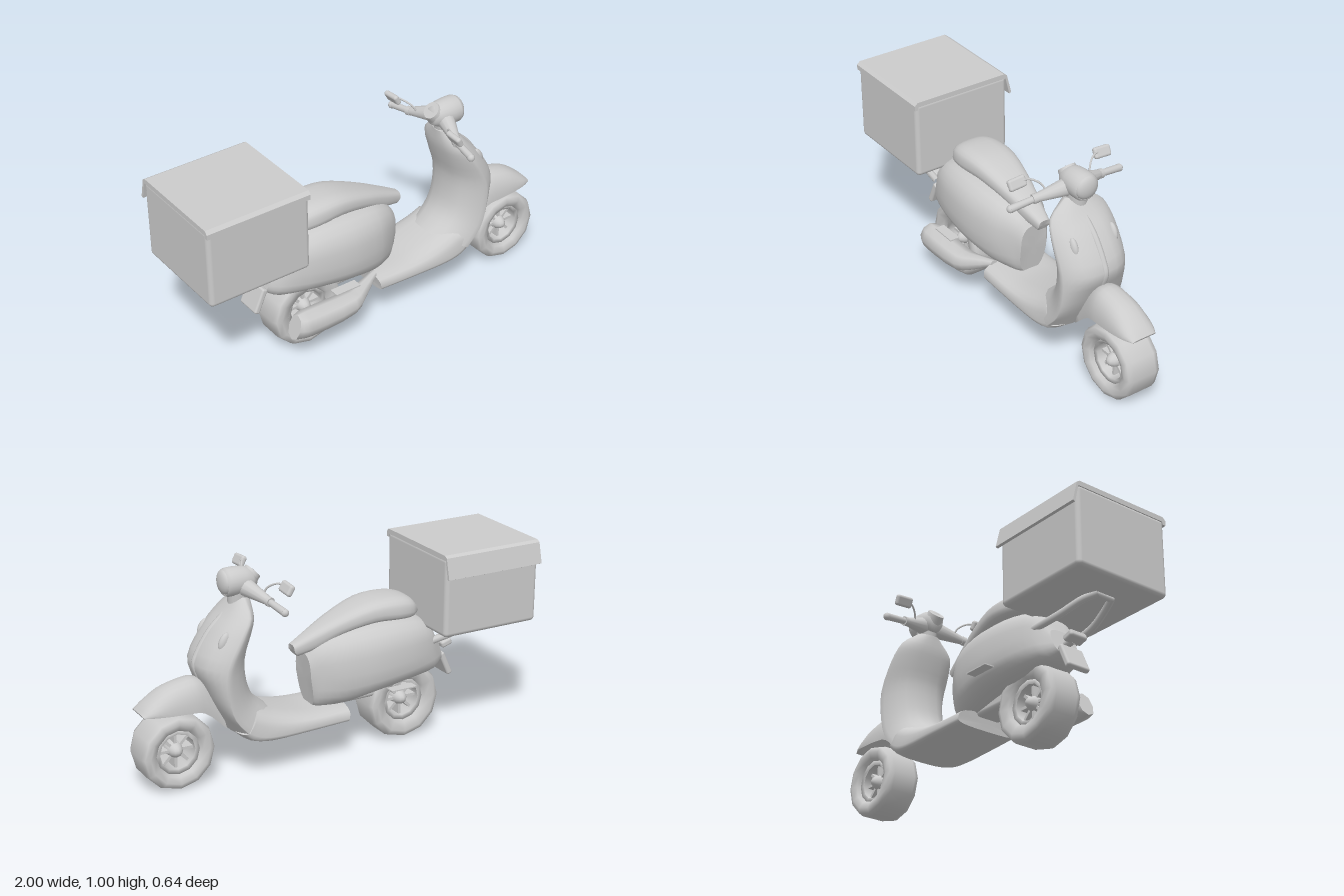
import * as THREE from 'three';
import { RoundedBoxGeometry } from 'three/addons/geometries/RoundedBoxGeometry.js';

const grey = new THREE.MeshStandardMaterial({ color: 0xcccccc });
const shell = new THREE.MeshStandardMaterial({ color: 0xcccccc, side: THREE.DoubleSide });
const V = (x, y, z) => new THREE.Vector3(x, y, z);

function add(parent, name, geo, pos = [0, 0, 0], rot = [0, 0, 0], mat = grey) {
  const m = new THREE.Mesh(geo, mat);
  m.name = name;
  m.position.set(...pos);
  m.rotation.set(...rot);
  parent.add(m);
  return m;
}

// Tapered round bar between two points
function rod(parent, name, a, b, r1, r2 = r1, sides = 12) {
  const d = b.clone().sub(a);
  const m = add(parent, name, new THREE.CylinderGeometry(r2, r1, d.length(), sides));
  m.position.copy(a).add(b).multiplyScalar(0.5);
  m.quaternion.setFromUnitVectors(V(0, 1, 0), d.normalize());
  return m;
}

// Symmetric skin through stations [outerX, outerY, edgeX, edgeY, innerX, innerY, halfWidth, z];
// the powers shape the section: below 1 boxy, above 1 pinched towards the edge
function loft(stations, power = 0.75, outer = power, inner = power, sides = 24) {
  const sub = 3;
  const track = (a, b) => new THREE.CatmullRomCurve3(stations.map((s, i) => V(s[a], s[b] || 0, i * 0.1)));
  const tracks = [track(0, 1), track(2, 3), track(4, 5), track(6, 7)];
  const rows = (stations.length - 1) * sub, pos = [], idx = [];
  const ease = (v, p) => Math.sign(v) * Math.pow(Math.abs(v), p);
  for (let i = 0; i <= rows; i++) {
    const [f, e, r, w] = tracks.map(c => c.getPoint(i / rows));
    for (let j = 0; j < sides; j++) {
      const a = j / sides * Math.PI * 2, s = Math.sin(a);
      const p = e.clone().lerp(s > 0 ? f : r, Math.pow(Math.abs(s), s > 0 ? outer : inner));
      pos.push(p.x, p.y, w.y + w.x * ease(Math.cos(a), power));
    }
  }
  for (let i = 0; i < rows; i++) for (let j = 0; j < sides; j++) {
    const a = i * sides + j, c = i * sides + (j + 1) % sides;
    idx.push(a, a + sides, c, c, a + sides, c + sides);
  }
  // End caps with their own vertices, so the rim stays crisp
  for (const end of [0, rows]) {
    const base = pos.length / 3, mid = [0, 0, 0];
    for (let j = 0; j < sides; j++) for (let k = 0; k < 3; k++) {
      const v = pos[(end * sides + j) * 3 + k];
      pos.push(v);
      mid[k] += v / sides;
    }
    pos.push(...mid);
    for (let j = 0; j < sides; j++) {
      const a = base + j, b = base + (j + 1) % sides;
      idx.push(base + sides, end ? b : a, end ? a : b);
    }
  }
  const g = new THREE.BufferGeometry();
  g.setAttribute('position', new THREE.Float32BufferAttribute(pos, 3));
  g.setIndex(idx);
  g.computeVertexNormals();
  return g;
}

// Twelve-sided tyre, rim, hub and eight spokes, axle along z
function wheel(parent, name, x, y, r) {
  const g = new THREE.Group();
  g.name = name;
  g.position.set(x, y, 0.004);
  parent.add(g);
  const ring = pts => new THREE.LatheGeometry(pts.map(p => new THREE.Vector2(...p)), 12).rotateX(Math.PI / 2);
  add(g, 'tyre', ring([[0.105, -0.06], [0.118, -0.083], [r - 0.035, -0.095], [r - 0.01, -0.085], [r, -0.06],
    [r, 0.06], [r - 0.01, 0.085], [r - 0.035, 0.095], [0.118, 0.083], [0.105, 0.06], [0.105, -0.06]]));
  add(g, 'rim', ring([[0.088, -0.06], [0.11, -0.066], [0.11, 0.066], [0.088, 0.06], [0.088, -0.06]]));
  add(g, 'hub', new THREE.SphereGeometry(1, 16, 12).scale(0.04, 0.04, 0.075));
  for (let i = 0; i < 8; i++) {
    const a = i * Math.PI / 4;
    add(g, 'spoke', new THREE.BoxGeometry(0.065, 0.014, 0.07), [0.065 * Math.cos(a), 0.065 * Math.sin(a), 0], [0, 0, a]);
  }
}

export function createModel() {
  const root = new THREE.Group();
  root.name = 'scooter';

  wheel(root, 'frontWheel', 0.82, 0.185, 0.183);
  wheel(root, 'rearWheel', -0.385, 0.2, 0.195);

  // Leg shield: swept front plate with a rounded column behind
  add(root, 'legShield', loft([
    [0.49, 0.875, 0.465, 0.87, 0.42, 0.86, 0.06],
    [0.55, 0.80, 0.48, 0.80, 0.425, 0.78, 0.148],
    [0.62, 0.725, 0.53, 0.715, 0.445, 0.70, 0.173],
    [0.705, 0.58, 0.60, 0.575, 0.47, 0.60, 0.178],
    [0.67, 0.47, 0.605, 0.44, 0.46, 0.47, 0.178],
    [0.62, 0.36, 0.575, 0.33, 0.425, 0.39, 0.178],
    [0.55, 0.235, 0.50, 0.24, 0.35, 0.32, 0.176]], 0.75, 1.6, 1.4), [0, 0, 0.004]);
  // Floorboard running back from the foot of the shield
  add(root, 'floorboard', loft([
    [0.55, 0.245, 0.51, 0.255, 0.44, 0.35, 0.174],
    [0.50, 0.20, 0.45, 0.225, 0.36, 0.32, 0.177],
    [0.40, 0.18, 0.37, 0.212, 0.25, 0.29, 0.179],
    [0.2, 0.183, 0.2, 0.212, 0.14, 0.272, 0.178],
    [-0.02, 0.19, -0.02, 0.215, -0.03, 0.272, 0.172]], 0.65), [0, 0, -0.002]);
  add(root, 'shieldRidge', new THREE.TubeGeometry(new THREE.CatmullRomCurve3(
    [V(0.54, 0.79, 0), V(0.615, 0.72, 0), V(0.68, 0.62, 0), V(0.697, 0.57, 0), V(0.665, 0.48, 0)]), 20, 0.016, 8), [0, 0, 0.004]);
  for (const s of [1, -1])
    add(root, 'turnSignal', new THREE.SphereGeometry(1, 16, 10).scale(0.024, 0.045, 0.018), [0.6, 0.7, s * 0.11], [0, 0, 0.45]);

  // Arched front mudguard, hollow underneath
  add(root, 'frontFender', loft([
    [0.62, 0.46, 0.57, 0.25, 0.65, 0.40, 0.065],
    [0.70, 0.515, 0.69, 0.36, 0.71, 0.465, 0.088],
    [0.78, 0.512, 0.77, 0.375, 0.78, 0.47, 0.094],
    [0.87, 0.485, 0.85, 0.38, 0.86, 0.45, 0.094],
    [0.95, 0.43, 0.93, 0.385, 0.94, 0.405, 0.085],
    [0.985, 0.395, 0.98, 0.385, 0.978, 0.382, 0.065]], 0.8, 0.9, 0.9), [0, 0, 0.004], [0, 0, 0], shell);
  rod(root, 'steeringColumn', V(0.6, 0.5, 0), V(0.71, 0.42, 0), 0.03);

  // Rear bodywork and saddle
  add(root, 'rearBody', loft([
    [-0.56, 0.50, -0.58, 0.44, -0.605, 0.365, 0.075],
    [-0.5, 0.60, -0.5, 0.46, -0.54, 0.33, 0.13],
    [-0.36, 0.64, -0.36, 0.45, -0.38, 0.315, 0.172],
    [-0.17, 0.645, -0.17, 0.44, -0.18, 0.29, 0.188],
    [0, 0.625, 0, 0.43, -0.02, 0.26, 0.16],
    [0.1, 0.58, 0.095, 0.43, 0.09, 0.255, 0.108],
    [0.145, 0.53, 0.14, 0.42, 0.115, 0.26, 0.075]], 0.7, 0.75, 0.7), [0, 0, -0.01]);
  add(root, 'seat', loft([
    [-0.445, 0.69, -0.45, 0.66, -0.44, 0.635, 0.06],
    [-0.40, 0.735, -0.40, 0.67, -0.39, 0.63, 0.105],
    [-0.31, 0.755, -0.31, 0.68, -0.31, 0.635, 0.122],
    [-0.17, 0.747, -0.18, 0.685, -0.19, 0.638, 0.115],
    [0, 0.688, -0.01, 0.64, -0.03, 0.605, 0.084],
    [0.13, 0.627, 0.11, 0.585, 0.09, 0.55, 0.055],
    [0.21, 0.585, 0.208, 0.555, 0.185, 0.525, 0.032]], 0.7), [0, 0, -0.02]);
  add(root, 'engine', new RoundedBoxGeometry(0.24, 0.08, 0.14, 2, 0.02), [-0.12, 0.29, 0]);

  // Faceted silencer tapering forward into its pipe
  add(root, 'silencer', loft([
    [-0.5, 0.265, -0.52, 0.205, -0.54, 0.145, 0.045, 0.165],
    [-0.46, 0.272, -0.46, 0.205, -0.46, 0.143, 0.065, 0.17],
    [-0.2, 0.265, -0.2, 0.21, -0.2, 0.155, 0.06, 0.165],
    [-0.11, 0.275, -0.1, 0.24, -0.1, 0.205, 0.035, 0.14],
    [-0.02, 0.285, -0.02, 0.27, -0.02, 0.255, 0.018, 0.11]], 0.9, 0.9, 0.9, 8));

  for (const z of [0.215, -0.24])
    add(root, 'footPeg', new THREE.BoxGeometry(0.135, 0.006, 0.05), [-0.265, 0.35, z]);

  // Rear light and number plate holder
  add(root, 'tailLight', new RoundedBoxGeometry(0.06, 0.035, 0.1, 2, 0.012), [-0.645, 0.44, 0], [0, 0, -0.3]);
  rod(root, 'tailLightBracket', V(-0.63, 0.435, 0), V(-0.55, 0.42, 0), 0.02);
  add(root, 'plateHolder', new RoundedBoxGeometry(0.03, 0.13, 0.13, 2, 0.01), [-0.632, 0.34, 0], [0, 0, -0.42]);

  // Delivery box with overhanging lid, on a tubular rack
  add(root, 'deliveryBox', new RoundedBoxGeometry(0.525, 0.395, 0.524, 3, 0.022), [-0.735, 0.768, -0.023]);
  const lid = new THREE.Shape([[0.246, 0.94], [0.246, 0.965], [0.23, 0.98], [-0.27, 0.98], [-0.287, 0.97], [-0.312, 0.87],
    [-0.3, 0.865], [-0.278, 0.955], [0.225, 0.955], [0.23, 0.94]].map(p => new THREE.Vector2(...p)));
  add(root, 'boxLid', new THREE.ExtrudeGeometry(lid, { depth: 0.53, bevelEnabled: false }).rotateY(-Math.PI / 2), [-0.47, 0, 0]);
  for (const s of [1, -1]) {
    const path = new THREE.CatmullRomCurve3([V(-0.85, 0.568, s * 0.04), V(-0.78, 0.555, s * 0.07),
      V(-0.66, 0.52, s * 0.1), V(-0.49, 0.5, s * 0.12)]);
    add(root, 'rackRail', new THREE.TubeGeometry(path, 16, 0.018, 8));
  }
  rod(root, 'rackCrossbar', V(-0.84, 0.566, -0.05), V(-0.84, 0.566, 0.05), 0.015);

  // Headlamp housing, lens at the front and dial facing the rider
  const head = new THREE.Group();
  head.name = 'headset';
  head.position.set(0.46, 0.938, 0);
  root.add(head);
  const housing = [[0, -0.075], [0.04, -0.07], [0.056, -0.045], [0.065, -0.01], [0.068, 0.03], [0.067, 0.07], [0.06, 0.085], [0.057, 0.08]];
  add(head, 'headlampHousing', new THREE.LatheGeometry(housing.map(p => new THREE.Vector2(...p)), 24).rotateZ(-Math.PI / 2), [0, 0, 0], [0, 0, 0], shell);
  add(head, 'headlampLens', new THREE.SphereGeometry(1, 20, 12).scale(0.027, 0.058, 0.058), [0.08, 0.003, 0]);
  add(root, 'dial', new THREE.CylinderGeometry(0.042, 0.05, 0.05, 20), [0.41, 0.955, 0], [0, 0, 0.8]);
  rod(root, 'headsetNeck', V(0.475, 0.82, 0), V(0.47, 0.91, 0), 0.045, 0.055, 20);

  // Handlebar, grips and mirrors on both sides
  for (const s of [1, -1]) {
    rod(root, 'handlebarArm', V(0.455, 0.918, s * 0.03), V(0.405, 0.88, s * 0.18), 0.045, 0.02);
    rod(root, 'gripCollar', V(0.407, 0.881, s * 0.172), V(0.403, 0.878, s * 0.192), 0.023);
    rod(root, 'grip', V(0.404, 0.878, s * 0.19), V(0.392, 0.863, s * 0.305), 0.016, 0.018);
    add(root, 'gripEnd', new THREE.SphereGeometry(0.019, 12, 8), [0.391, 0.862, s * 0.302]);
    add(root, 'mirrorStem', new THREE.TubeGeometry(new THREE.CatmullRomCurve3(
      [V(0.41, 0.89, s * 0.12), V(0.39, 0.93, s * 0.135), V(0.36, 0.957, s * 0.18), V(0.345, 0.955, s * 0.24)]), 14, 0.005, 6));
    add(root, 'mirror', new RoundedBoxGeometry(0.028, 0.054, 0.092, 3, 0.012), [0.345, 0.948, s * 0.236], [s * 0.06, 0, 0.5]);
  }
  return root;
}
